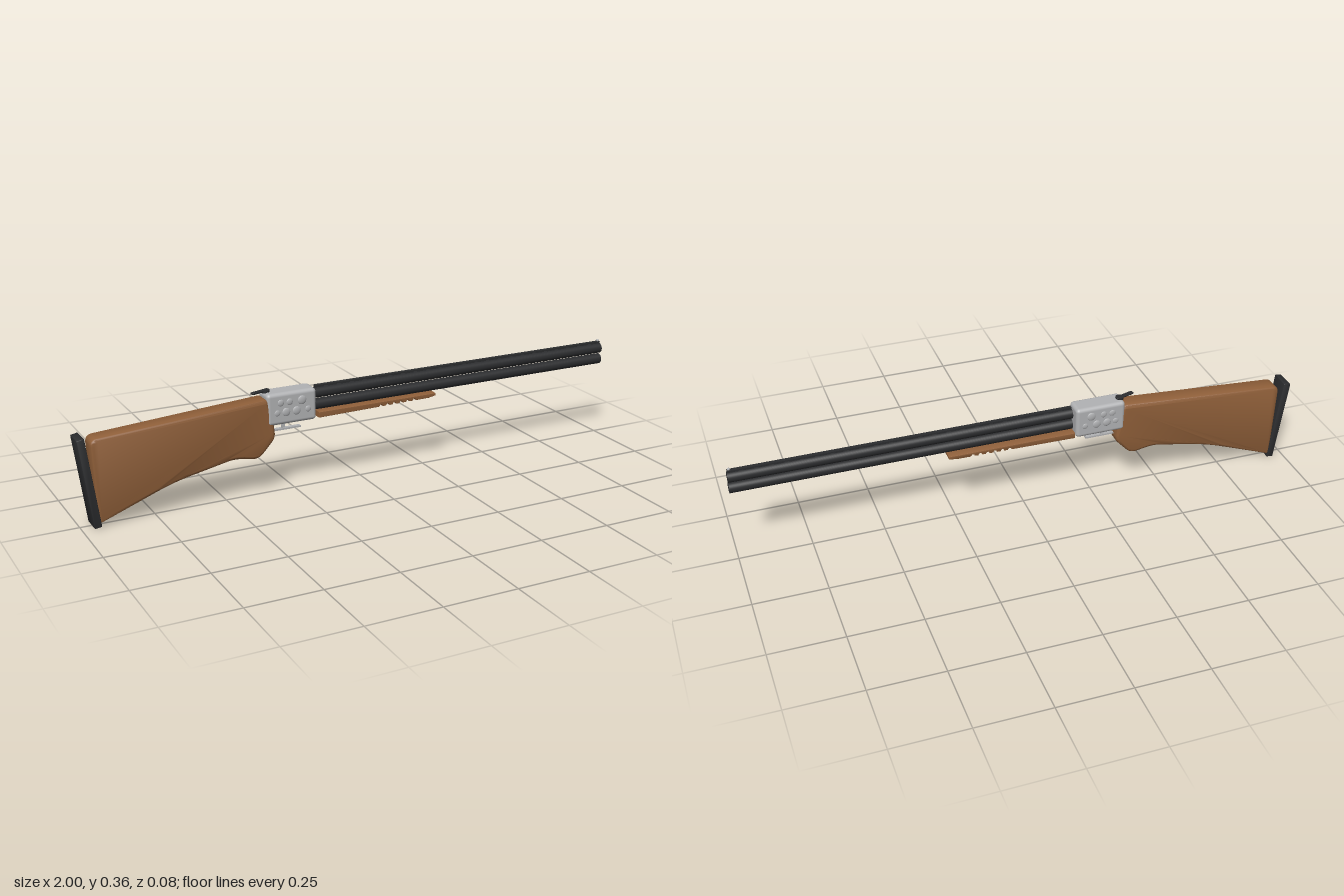
import * as THREE from 'three';
import { toCreasedNormals } from 'three/addons/utils/BufferGeometryUtils.js';
import { RoundedBoxGeometry } from 'three/addons/geometries/RoundedBoxGeometry.js';

const material = (name, color) => {
  const m = new THREE.MeshStandardMaterial({ color });
  m.name = name;
  return m;
};

// Closed outline with each corner softened; points are [x, y, radius]
function softOutline(points) {
  const shape = new THREE.Shape();
  const n = points.length;
  points.forEach(([x, y, r], i) => {
    const corner = new THREE.Vector2(x, y);
    const toward = (q) => {
      const d = new THREE.Vector2(q[0], q[1]).sub(corner);
      return d.setLength(Math.min(r, d.length() * 0.45)).add(corner);
    };
    const a = toward(points[(i + n - 1) % n]);
    const b = toward(points[(i + 1) % n]);
    if (i === 0) shape.moveTo(a.x, a.y);
    else shape.lineTo(a.x, a.y);
    shape.quadraticCurveTo(x, y, b.x, b.y);
  });
  shape.closePath();
  return shape;
}

// Side profile extruded across z, centred, with rounded edges
function slab(shape, width, bevel) {
  const g = new THREE.ExtrudeGeometry(shape, {
    depth: width - 2 * bevel, bevelEnabled: bevel > 0, bevelSize: bevel, bevelThickness: bevel,
    bevelOffset: -bevel, bevelSegments: 4, curveSegments: 5,
  });
  g.translate(0, 0, -width / 2 + bevel);
  return toCreasedNormals(g, 0.6);
}

export function createModel() {
  const wood = material('walnut', 0x8f5f39);
  const steel = material('steel', 0xb2b3b5);
  const black = material('black metal', 0x2b2c2e);
  const model = new THREE.Group();
  const add = (name, geometry, mat, x = 0, y = 0, z = 0) => {
    const mesh = new THREE.Mesh(geometry, mat);
    mesh.name = name;
    mesh.position.set(x, y, z);
    model.add(mesh);
    return mesh;
  };

  // Shoulder stock with pistol grip
  add('stock', slab(softOutline([
    [-0.957, 0.302, 0.025], [-0.947, 0.013, 0.012], [-0.69, 0.11, 0.06], [-0.475, 0.154, 0.03],
    [-0.39, 0.138, 0.025], [-0.328, 0.205, 0.02], [-0.335, 0.262, 0.015], [-0.355, 0.344, 0.015],
  ]), 0.069, 0.012), wood);

  // Tilted butt pad
  add('buttPad', slab(softOutline([
    [-1, 0.306, 0.004], [-0.961, 0.003, 0.004], [-0.936, 0.007, 0.004], [-0.975, 0.311, 0.004],
  ]), 0.072, 0.003), black);

  // Receiver with domed studs on both sides
  add('receiver', new RoundedBoxGeometry(0.18, 0.111, 0.073, 4, 0.013), steel, -0.27, 0.304, 0);
  const studs = [
    [-0.311, 0.326, 0.012], [-0.279, 0.326, 0.012], [-0.234, 0.326, 0.016],
    [-0.324, 0.292, 0.011], [-0.292, 0.292, 0.015], [-0.254, 0.292, 0.015], [-0.212, 0.292, 0.011],
  ];
  for (const side of [-1, 1]) {
    for (const [x, y, r] of studs) {
      add('stud', new THREE.SphereGeometry(r, 16, 10), steel, x, y, side * 0.0355).scale.z = 0.3;
    }
  }

  // Opening lever, swung slightly sideways
  const lever = add('topLever', new RoundedBoxGeometry(0.072, 0.007, 0.016, 2, 0.003), black, -0.369, 0.364, 0);
  lever.rotation.y = 0.3;
  add('leverPivot', new THREE.CylinderGeometry(0.014, 0.014, 0.008, 20), black, -0.349, 0.361, -0.004);

  // Trigger and guard strip
  add('trigger', new THREE.BoxGeometry(0.012, 0.03, 0.007), steel, -0.289, 0.238, 0);
  add('triggerGuard', new THREE.BoxGeometry(0.108, 0.006, 0.015), steel, -0.281, 0.223, 0);

  // Stacked barrels
  for (const y of [0.332, 0.291]) {
    const barrel = add('barrel', new THREE.CylinderGeometry(0.0187, 0.0187, 1.174, 32), black, 0.413, y, 0);
    barrel.rotation.z = -Math.PI / 2;
  }

  // Ventilated rib on posts, with a front bead
  add('rib', new THREE.BoxGeometry(1.17, 0.004, 0.014), black, 0.413, 0.356, 0);
  for (let i = 0; i < 24; i++) {
    add('ribPost', new THREE.BoxGeometry(0.034, 0.008, 0.01), black, -0.155 + i * 0.0493, 0.351, 0);
  }
  add('frontBead', new THREE.SphereGeometry(0.005, 12, 8), steel, 0.992, 0.361, 0);

  // Fore-end with grip grooves cut across its underside
  const fore = new THREE.Shape();
  fore.moveTo(-0.174, 0.274);
  fore.lineTo(-0.174, 0.254);
  const bottom = (x) => 0.254 + (x + 0.174) * 0.015;
  for (let i = 0; i < 6; i++) {
    const x = 0.055 + i * 0.026;
    fore.lineTo(x, bottom(x));
    fore.lineTo(x + 0.004, bottom(x) + 0.007);
    fore.lineTo(x + 0.010, bottom(x) + 0.007);
    fore.lineTo(x + 0.014, bottom(x));
  }
  fore.lineTo(0.25, 0.26);
  fore.lineTo(0.276, 0.265);
  fore.lineTo(0.276, 0.274);
  fore.closePath();
  add('foreEnd', slab(fore, 0.08, 0.0015), wood);

  return model;
}
